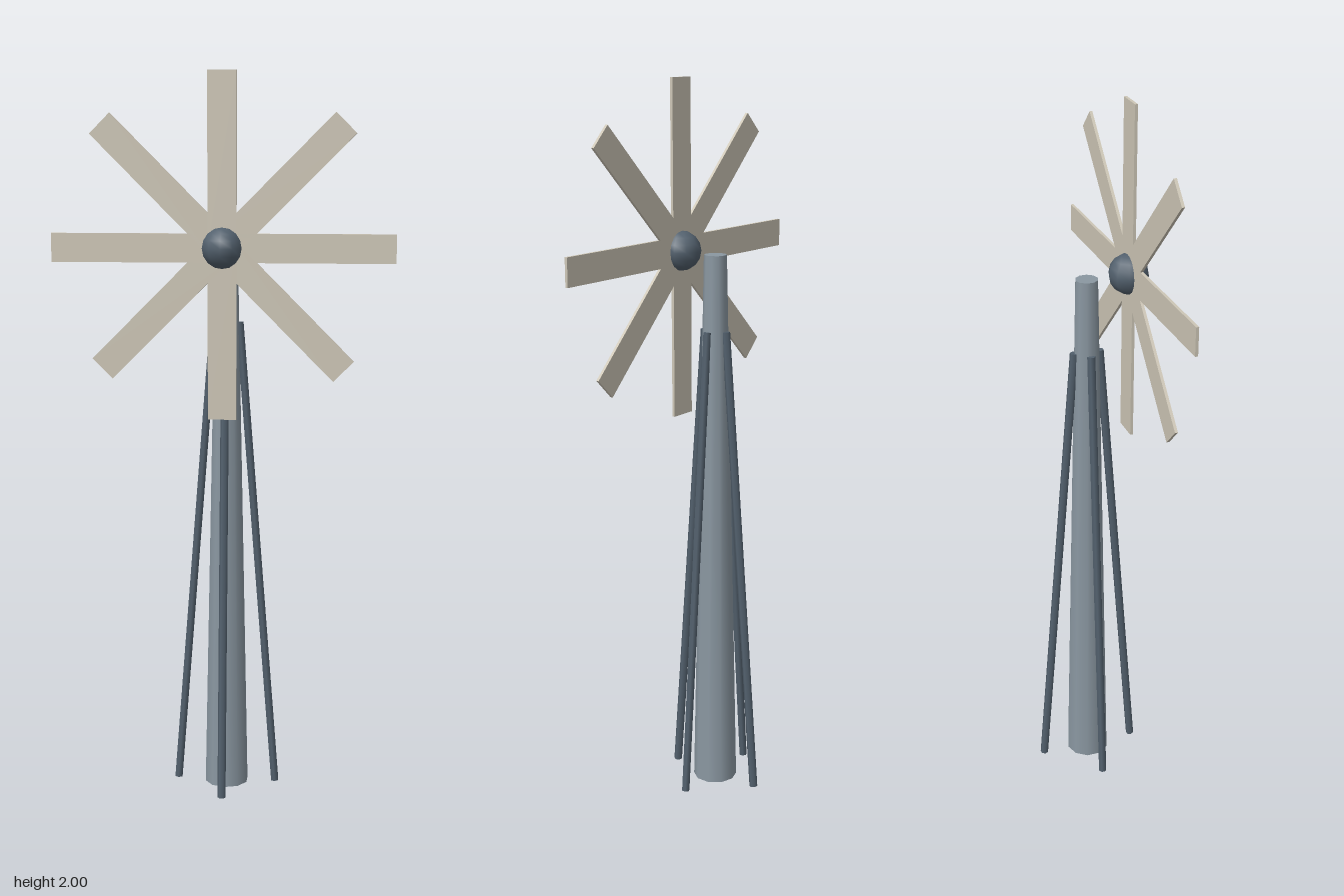
import * as THREE from 'three';

const AXIS_Z = -0.012;   // tower centre line
const WHEEL_Z = 0.105;
const WHEEL_Y = 1.54;

function material(name, color) {
  const m = new THREE.MeshStandardMaterial({ color });
  m.name = name;
  return m;
}

function addPart(parent, name, geometry, mat) {
  const mesh = new THREE.Mesh(geometry, mat);
  mesh.name = name;
  parent.add(mesh);
  return mesh;
}

// Straight round bar between two points
function bar(a, b, radius, sides) {
  const dir = b.clone().sub(a);
  const g = new THREE.CylinderGeometry(radius, radius, dir.length(), sides);
  g.applyQuaternion(new THREE.Quaternion().setFromUnitVectors(new THREE.Vector3(0, 1, 0), dir.normalize()));
  const mid = a.clone().add(b).multiplyScalar(0.5);
  return g.translate(mid.x, mid.y, mid.z);
}

export function createModel() {
  const model = new THREE.Group();
  model.name = 'windmill';
  const steel = material('light steel', 0x8a97a1);
  const darkSteel = material('dark steel', 0x53616e);
  const cream = material('blade cream', 0xcdc6b6);

  // Tapered central tower
  const tower = addPart(model, 'tower', new THREE.CylinderGeometry(0.031, 0.062, 1.54, 10), steel);
  tower.position.set(0, 0.77, AXIS_Z);

  // Four leaning support legs
  const legs = new THREE.Group();
  legs.name = 'legs';
  legs.position.z = AXIS_Z;
  model.add(legs);
  const legGeometry = bar(new THREE.Vector3(0.14, 0.003, 0), new THREE.Vector3(0.036, 1.333, 0), 0.0115, 6);
  for (let i = 0; i < 4; i++) {
    addPart(legs, 'leg', legGeometry, darkSteel).rotation.y = i * Math.PI / 2;
  }

  // Wheel: eight flat blades around a round hub
  const wheel = new THREE.Group();
  wheel.name = 'wheel';
  wheel.position.set(0, WHEEL_Y, WHEEL_Z);
  model.add(wheel);
  const bladeGeometry = new THREE.BoxGeometry(0.077, 0.46, 0.008).translate(0, 0.23, 0);
  for (let i = 0; i < 8; i++) {
    addPart(wheel, 'blade', bladeGeometry, cream).rotation.z = i * Math.PI / 4;
  }
  const hub = addPart(wheel, 'hub', new THREE.SphereGeometry(0.055, 10, 8), darkSteel);
  hub.rotation.y = Math.PI / 2;

  return model;
}
